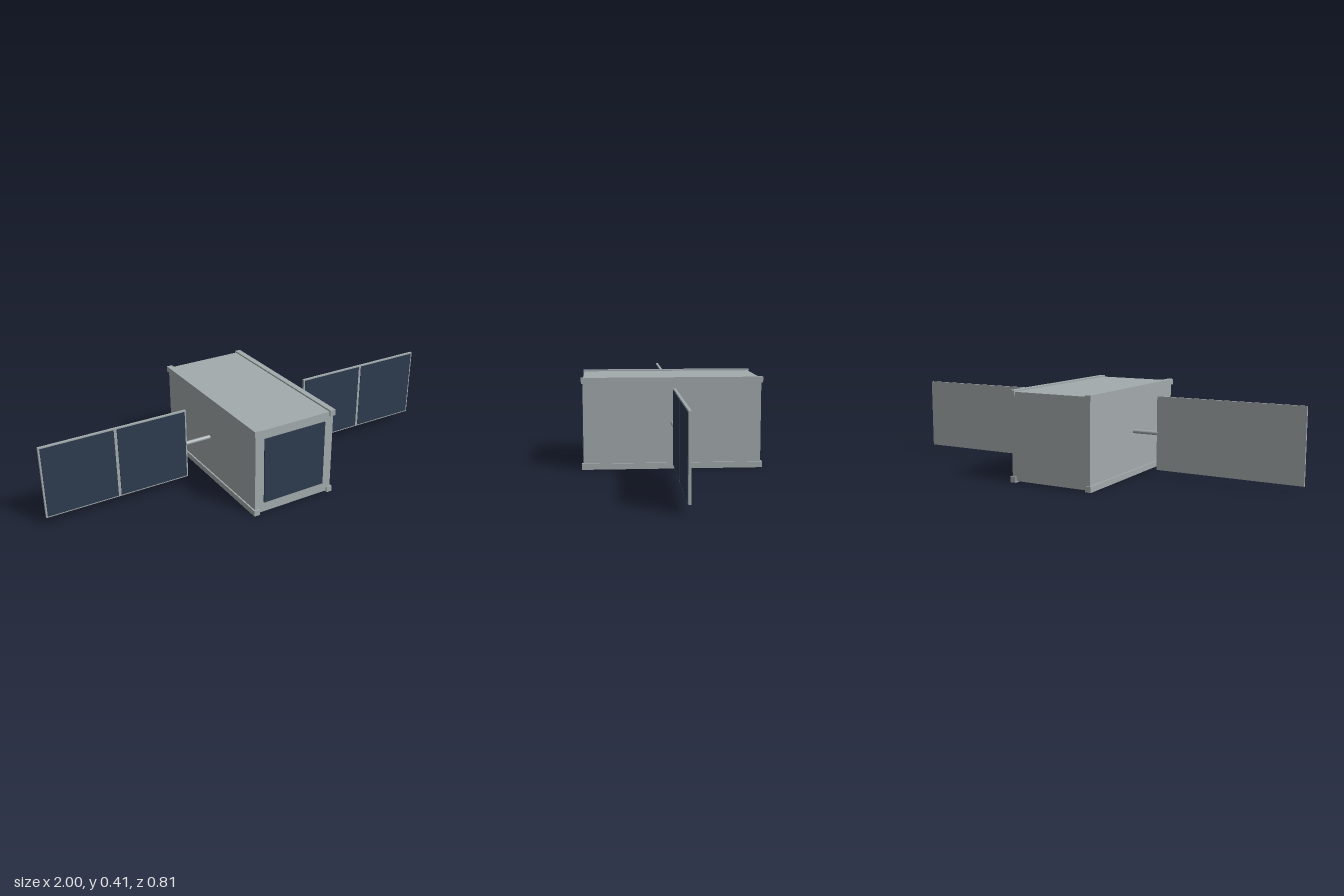
import * as THREE from 'three';

export function createModel() {
  const model = new THREE.Group();
  model.name = 'satellite';
  const metal = new THREE.MeshStandardMaterial({ name: 'grey metal', color: 0xa3abad });
  const solar = new THREE.MeshStandardMaterial({ name: 'dark blue cell', color: 0x2d3b4f });
  const midY = 0.207;

  function box(parent, name, material, size, position) {
    const mesh = new THREE.Mesh(new THREE.BoxGeometry(...size), material);
    mesh.name = name;
    mesh.position.set(...position);
    parent.add(mesh);
    return mesh;
  }

  // Main body with a dark panel on the front
  box(model, 'body', metal, [0.4, 0.4, 0.8], [0, midY, 0]);
  box(model, 'frontCell', solar, [0.312, 0.312, 0.006], [0, midY + 0.003, 0.4015]);

  // Rails along the four long edges
  for (const sx of [-1, 1]) {
    for (const sy of [-1, 1]) {
      box(model, 'edgeRail', metal, [0.027, 0.027, 0.814], [sx * 0.1935, midY + sy * 0.1935, 0]);
    }
  }

  // Solar wings: boom, backing plate and two cells on the front
  for (const side of [-1, 1]) {
    const wing = new THREE.Group();
    wing.name = side > 0 ? 'leftWing' : 'rightWing';
    wing.position.y = midY;
    model.add(wing);

    const boom = new THREE.Mesh(new THREE.CylinderGeometry(0.0095, 0.0095, 0.13, 16), metal);
    boom.name = 'boom';
    boom.rotation.z = Math.PI / 2;
    boom.position.x = side * 0.257;
    wing.add(boom);

    box(wing, 'wingPlate', metal, [0.68, 0.338, 0.011], [side * 0.66, 0, 0]);
    for (const offset of [-0.17, 0.17]) {
      box(wing, 'solarCell', solar, [0.326, 0.326, 0.003], [side * 0.66 + offset, 0, 0.006]);
    }
  }
  return model;
}
